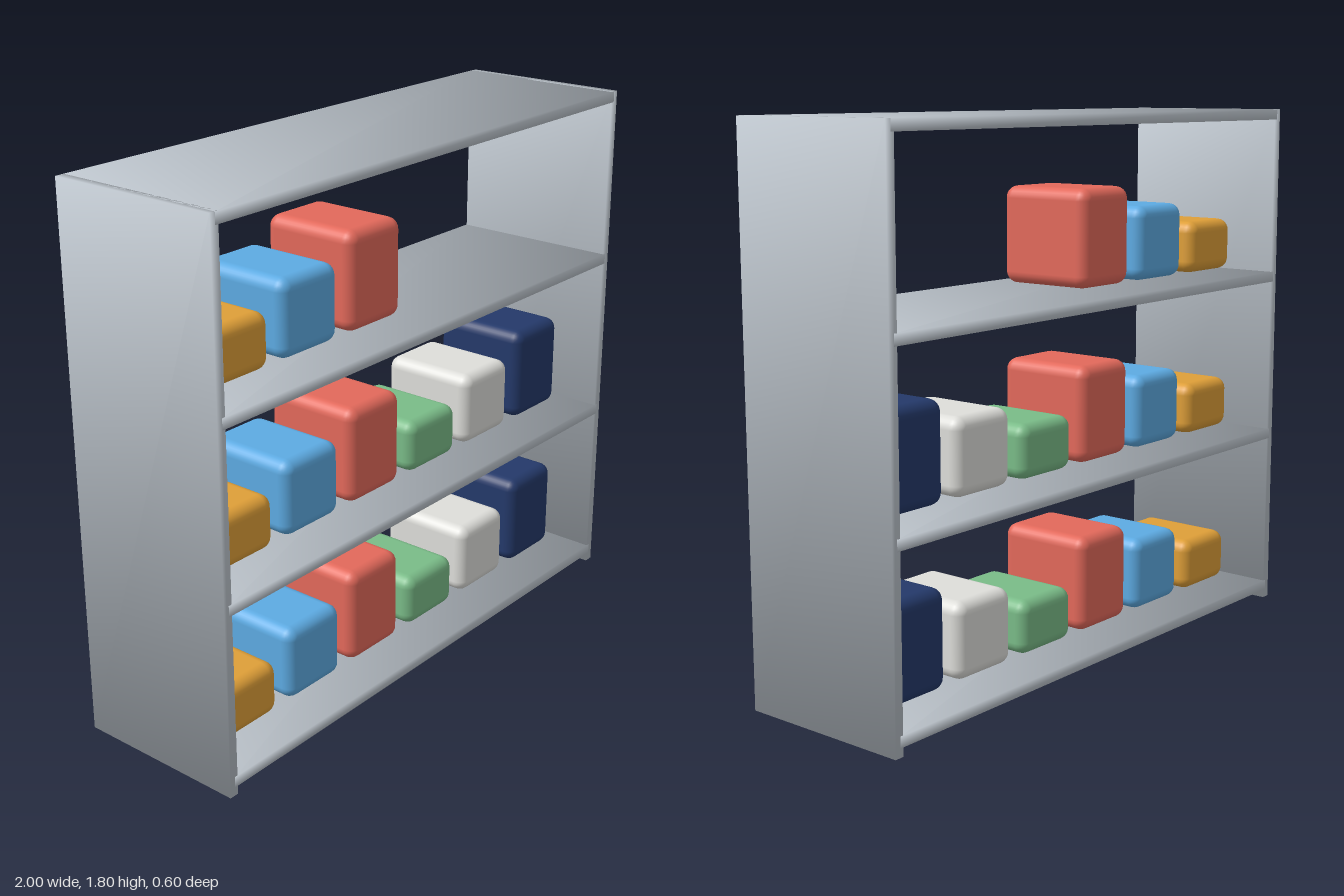
import * as THREE from 'three';
import { RoundedBoxGeometry } from 'three/addons/geometries/RoundedBoxGeometry.js';

const material = (name, color) => new THREE.MeshStandardMaterial({ name, color });

// Board whose normals are shared at its eight corners, for soft shading
function boardGeometry(w, h, d) {
  const g = new THREE.BoxGeometry(w, h, d);
  const p = g.attributes.position;
  const n = new THREE.Vector3();
  for (let i = 0; i < p.count; i++) {
    n.set(Math.sign(p.getX(i)), Math.sign(p.getY(i)), Math.sign(p.getZ(i))).normalize();
    g.attributes.normal.setXYZ(i, n.x, n.y, n.z);
  }
  return g;
}

export function createModel() {
  const model = new THREE.Group();
  model.name = 'storageRack';
  const metal = material('paleSteel', 0xc0c8d0);

  const add = (name, geometry, mat, x, y, z = 0) => {
    const mesh = new THREE.Mesh(geometry, mat);
    mesh.name = name;
    mesh.position.set(x, y, z);
    model.add(mesh);
  };

  // Side panels
  const side = boardGeometry(0.032, 1.805, 0.6);
  add('leftPanel', side, metal, 0.984, 0.9025);
  add('rightPanel', side, metal, -0.984, 0.9025);

  // Four evenly spaced shelves, let into the side panels
  const pitch = 0.58;
  const shelf = boardGeometry(1.96, 0.036, 0.602);
  for (let i = 0; i < 4; i++) add(`shelf${i + 1}`, shelf, metal, 0, 0.047 + i * pitch, 0);

  // Soft-edged boxes: six on the lower shelves, three on the upper one
  const boxes = [
    ['amberBox', material('amber', 0xdf9f38), 0.18],
    ['blueBox', material('skyBlue', 0x5dabe3), 0.252],
    ['redBox', material('coralRed', 0xe3695b), 0.325],
    ['greenBox', material('leafGreen', 0x7abc88), 0.18],
    ['greyBox', material('lightGrey', 0xdededa), 0.252],
    ['navyBox', material('navy', 0x24396a), 0.325],
  ];
  boxes.forEach(([name, mat, h], i) => {
    const geometry = new RoundedBoxGeometry(0.254, h, 0.35, 3, 0.04);
    const rows = i < 3 ? 3 : 2;
    for (let row = 0; row < rows; row++) {
      add(`${name}${row + 1}`, geometry, mat, -0.768 + i * 0.307, 0.077 + row * pitch + h / 2);
    }
  });

  return model;
}
